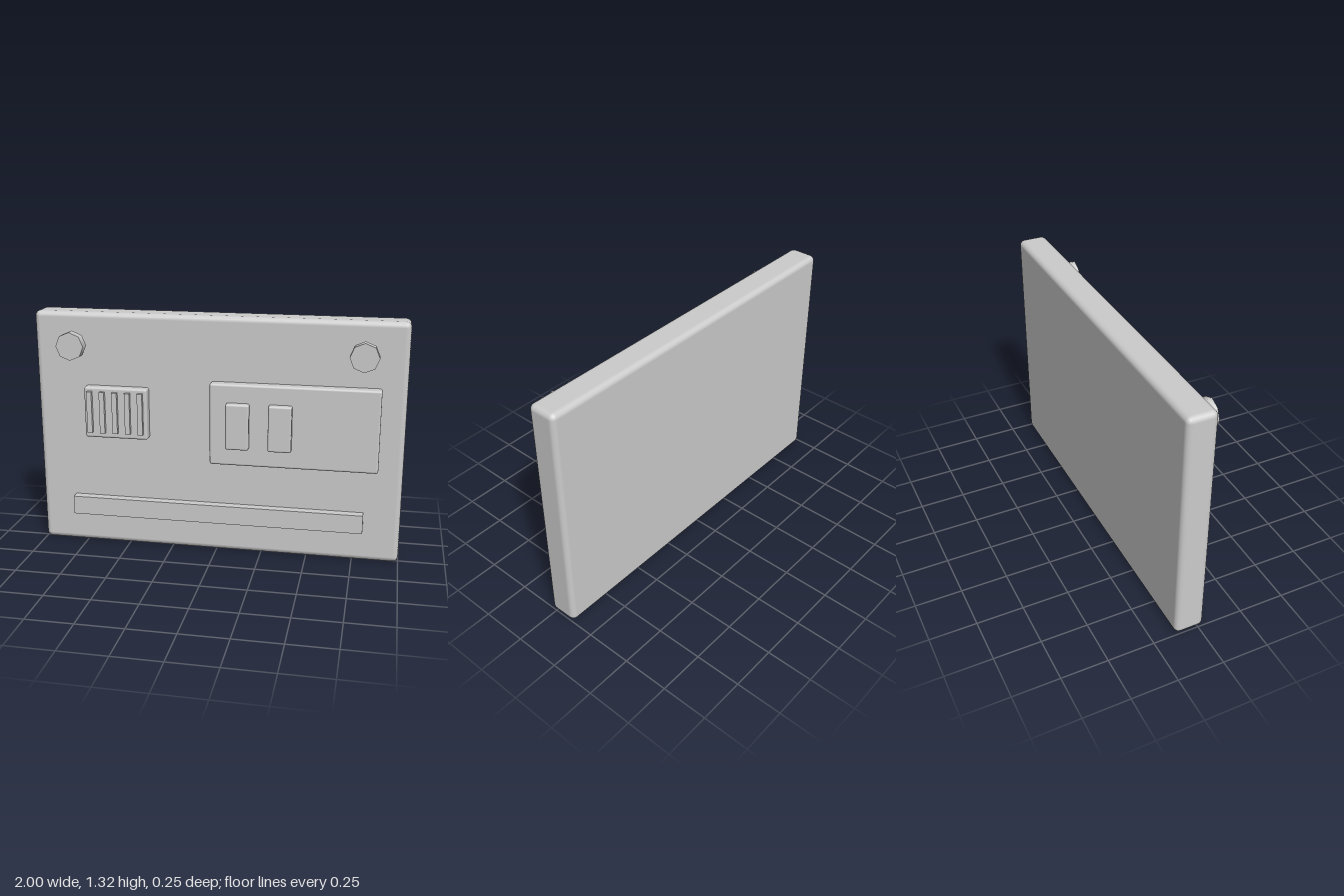
import * as THREE from 'three';
import { RoundedBoxGeometry } from 'three/addons/geometries/RoundedBoxGeometry.js';

const grey = new THREE.MeshStandardMaterial({ color: 0xcccccc });
grey.name = 'light grey';

export function createModel() {
  const model = new THREE.Group();
  model.name = 'controlPanel';

  // Box from its extents; a radius above zero rounds the edges
  function block(name, [x0, x1], [y0, y1], [z0, z1], radius = 0) {
    const size = [x1 - x0, y1 - y0, z1 - z0];
    const geometry = radius > 0
      ? new RoundedBoxGeometry(...size, 2, radius)
      : new THREE.BoxGeometry(...size);
    const mesh = new THREE.Mesh(geometry, grey);
    mesh.name = name;
    mesh.position.set((x0 + x1) / 2, (y0 + y1) / 2, (z0 + z1) / 2);
    model.add(mesh);
  }

  // Main slab
  block('backPanel', [-1, 1], [0, 1.315], [-0.127, 0.033], 0.03);

  // Vent housing with five upright slats
  block('ventHousing', [-0.72, -0.37], [0.634, 0.917], [-0.01, 0.085], 0.012);
  for (let i = 0; i < 5; i++) {
    const x = -0.687 + i * 0.0705;
    block('ventSlat' + (i + 1), [x - 0.014, x + 0.014], [0.666, 0.895], [0.07, 0.105]);
  }

  // Switch plate with two rockers
  block('switchPlate', [-0.027, 0.871], [0.521, 0.968], [-0.01, 0.089], 0.012);
  for (const x of [0.126, 0.353]) {
    block('rockerSwitch', [x - 0.062, x + 0.062], [0.62, 0.869], [0.05, 0.127], 0.01);
  }

  // Long ledge near the bottom
  block('lowerLedge', [-0.806, 0.804], [0.177, 0.28], [0.02, 0.084]);

  // Eight-sided knobs standing clear of the slab
  for (const side of [-1, 1]) {
    const knob = new THREE.Mesh(new THREE.CylinderGeometry(0.076, 0.076, 0.054, 8), grey);
    knob.name = side > 0 ? 'leftKnob' : 'rightKnob';
    knob.rotation.x = Math.PI / 2;
    knob.position.set(side * 0.776, 1.144, 0.1);
    model.add(knob);
  }

  return model;
}
